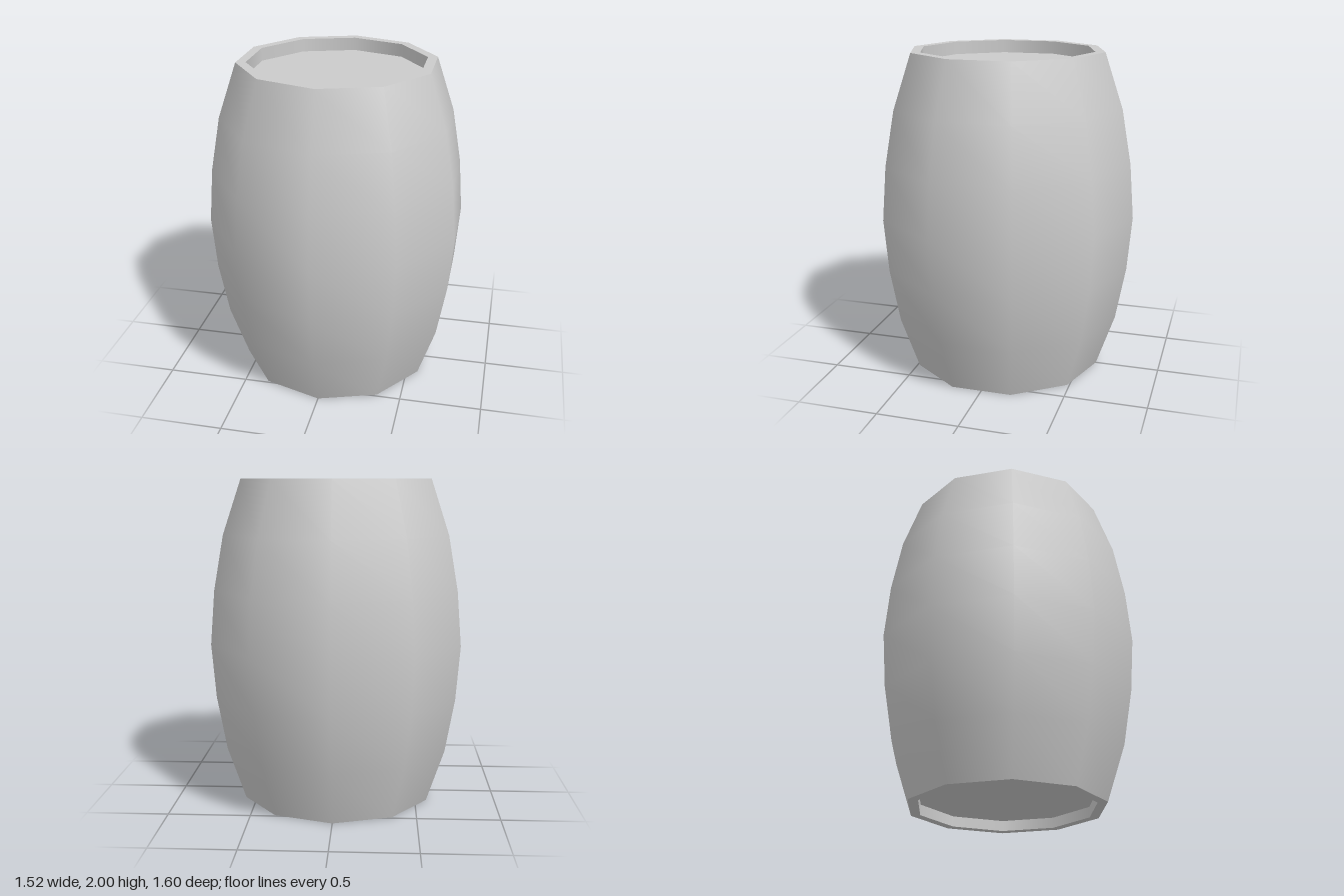
import * as THREE from 'three';

const SIDES = 10;
const RIM = 0.6, INNER = 0.54;
const TOP_FLOOR = 1.92, BOTTOM_FLOOR = 0.065;

export function createModel() {
  const barrel = new THREE.Group();
  barrel.name = 'barrel';
  const material = new THREE.MeshStandardMaterial({ color: 0xcccccc });

  // Each ring is its own lathe, so edges between rings stay sharp
  function addRing(name, profile) {
    const points = profile.map(([r, y]) => new THREE.Vector2(r, y));
    const mesh = new THREE.Mesh(new THREE.LatheGeometry(points, SIDES), material);
    mesh.name = name;
    barrel.add(mesh);
  }

  // Recessed bottom
  addRing('bottomLid', [[0, BOTTOM_FLOOR], [INNER, BOTTOM_FLOOR]]);
  addRing('bottomInnerWall', [[INNER, BOTTOM_FLOOR], [INNER, 0]]);
  addRing('bottomRim', [[INNER, 0], [RIM, 0]]);

  // Bulging smooth body
  addRing('body', [
    [RIM, 0], [0.713, 0.333], [0.773, 0.667], [0.8, 1],
    [0.773, 1.333], [0.713, 1.667], [RIM, 2],
  ]);

  // Recessed top
  addRing('topRim', [[RIM, 2], [INNER, 2]]);
  addRing('topInnerWall', [[INNER, 2], [INNER, TOP_FLOOR]]);
  addRing('topLid', [[INNER, TOP_FLOOR], [0, TOP_FLOOR]]);

  return barrel;
}
